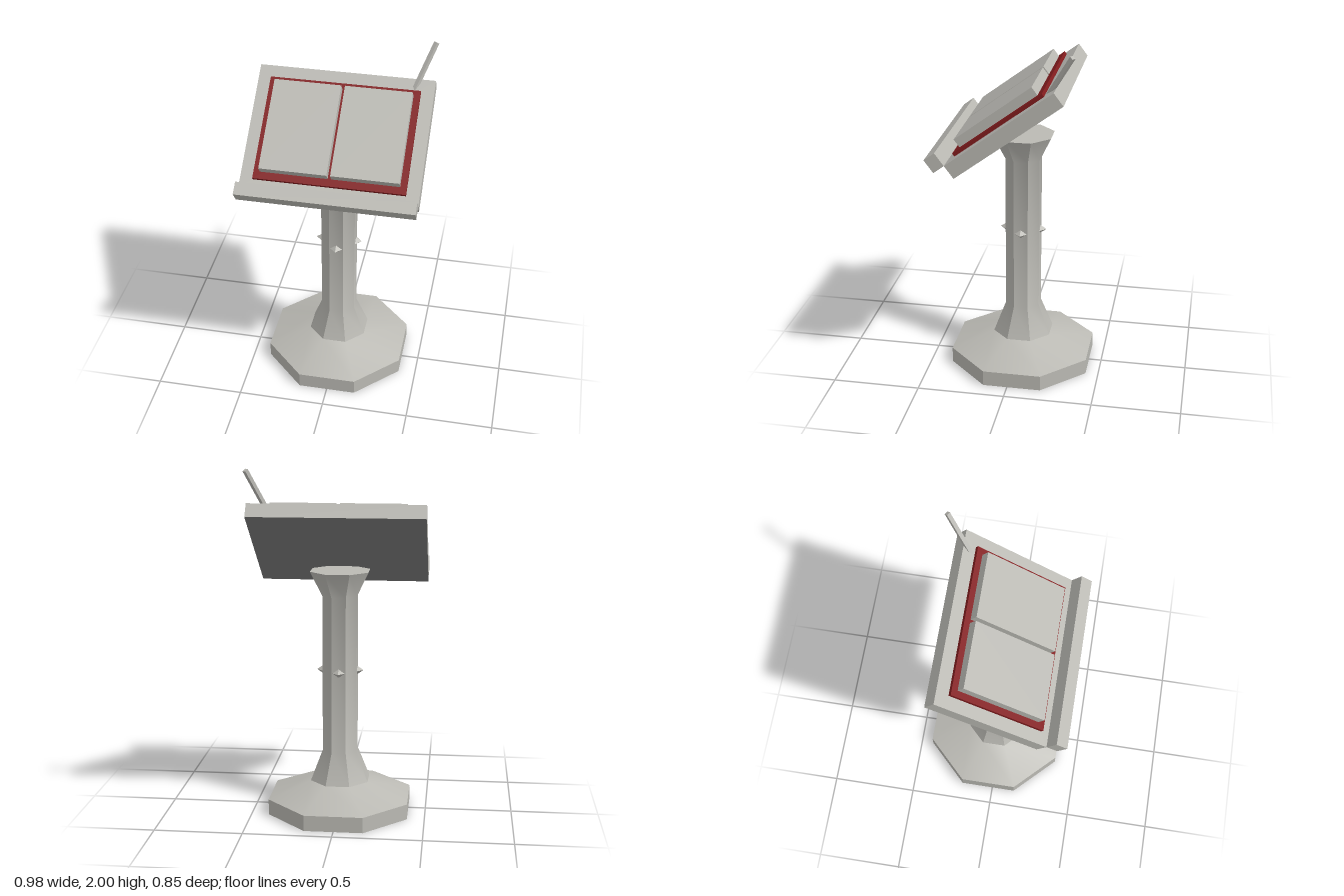
import * as THREE from 'three';
import { toCreasedNormals } from 'three/addons/utils/BufferGeometryUtils.js';

export function createModel() {
  const model = new THREE.Group();
  const stone = new THREE.MeshStandardMaterial({ color: 0xbbbab4, side: THREE.DoubleSide });
  stone.name = 'pale stone';
  const shade = new THREE.MeshStandardMaterial({ color: 0x7e7e7e });
  shade.name = 'dark grey';
  const red = new THREE.MeshStandardMaterial({ color: 0x821c1e });
  red.name = 'dark red';

  const add = (parent, name, geometry, material) => {
    const mesh = new THREE.Mesh(geometry, material);
    mesh.name = name;
    parent.add(mesh);
    return mesh;
  };

  // Box given by its low and high corners
  const boxBetween = (parent, name, [x0, y0, z0], [x1, y1, z1], material) => {
    const mesh = add(parent, name, new THREE.BoxGeometry(x1 - x0, y1 - y0, z1 - z0), material);
    mesh.position.set((x0 + x1) / 2, (y0 + y1) / 2, (z0 + z1) / 2);
    return mesh;
  };

  // Octagonal shell with a flat side to the front; the profile is [apothem, height]
  const octagon = (parent, name, profile) => {
    const points = profile.map(([r, y]) => new THREE.Vector2(r / Math.cos(Math.PI / 8), y));
    const shell = new THREE.LatheGeometry(points, 8, Math.PI / 8);
    return add(parent, name, toCreasedNormals(shell, 0.5), stone);
  };

  // Pedestal: hollow foot and flared column
  const pedestal = new THREE.Group();
  pedestal.name = 'pedestal';
  pedestal.position.z = -0.027;
  model.add(pedestal);
  octagon(pedestal, 'foot', [[0.4, 0], [0.4, 0.09], [0.165, 0.182]]);
  octagon(pedestal, 'column', [[0.165, 0.182], [0.098, 0.362], [0.098, 1.27], [0.165, 1.412], [0, 1.412]]);

  // Pointed studs on the four main sides of the column
  for (let i = 0; i < 4; i++) {
    const angle = i * Math.PI / 2;
    const stud = add(pedestal, 'stud', new THREE.OctahedronGeometry(0.035), stone);
    stud.scale.y = 0.7;
    stud.position.set(Math.sin(angle) * 0.099, 0.835, Math.cos(angle) * 0.099);
  }

  // Sloping desk: local y points out of the reading surface, local z down the slope
  const desk = new THREE.Group();
  desk.name = 'desk';
  desk.position.set(0, 1.558, -0.001);
  desk.rotation.x = THREE.MathUtils.degToRad(36.7);
  model.add(desk);
  // The board's underside (fourth box face) is darker
  const boardFaces = [stone, stone, stone, shade, stone, stone];
  boxBetween(desk, 'board', [-0.49, -0.043, -0.363], [0.49, 0.043, 0.363], boardFaces);
  boxBetween(desk, 'ledge', [-0.49, 0.043, 0.363], [0.49, 0.129, 0.436], stone);

  // Open book
  boxBetween(desk, 'bookCover', [-0.418, 0.043, -0.287], [0.418, 0.063, 0.312], red);
  boxBetween(desk, 'leftPages', [0.01, 0.063, -0.252], [0.382, 0.116, 0.271], stone);
  boxBetween(desk, 'rightPages', [-0.382, 0.063, -0.252], [-0.01, 0.116, 0.271], stone);

  // Pen leaning outwards from the top corner of the desk
  const foot = new THREE.Vector3(0.379, 1.765, -0.225);
  const tip = new THREE.Vector3(0.473, 1.994, -0.358);
  const lean = tip.clone().sub(foot);
  const pen = add(model, 'pen', new THREE.BoxGeometry(0.022, lean.length(), 0.022), stone);
  pen.position.copy(foot).lerp(tip, 0.5);
  pen.rotation.set(Math.atan2(Math.hypot(lean.x, lean.z), lean.y), Math.atan2(lean.x, lean.z), 0, 'YXZ');

  return model;
}
